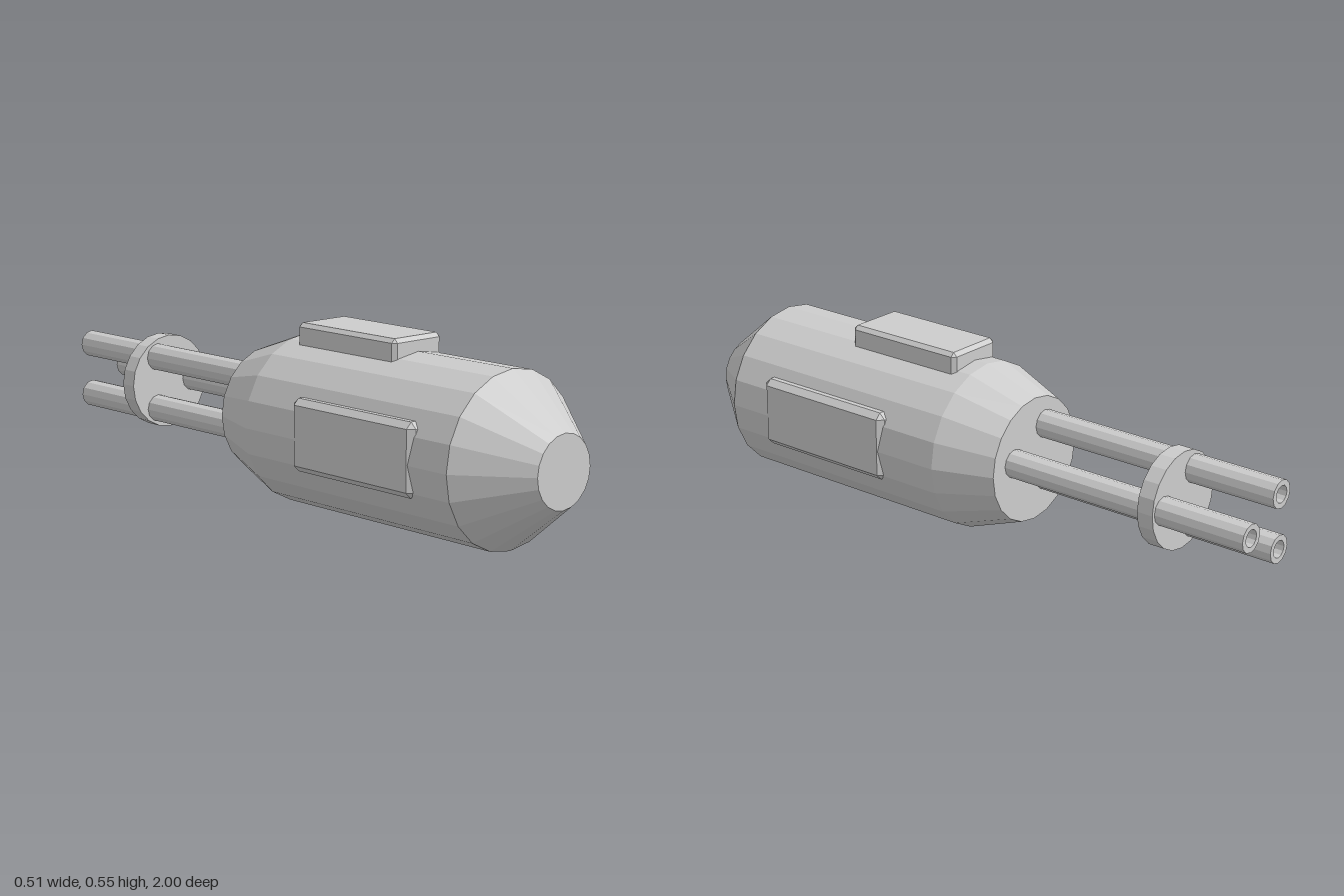
import * as THREE from 'three';
import { ConvexGeometry } from 'three/addons/geometries/ConvexGeometry.js';

const AXIS_Y = 0.256;   // height of the body axis
const BARREL_Y = 0.272; // height of the barrel cluster axis

// Faceted solid of revolution along z; profile is [radius, z] with z rising on the outside
function turned(profile, sides) {
  const points = profile.map(([r, z]) => new THREE.Vector2(r, z));
  const geometry = new THREE.LatheGeometry(points, sides).rotateX(Math.PI / 2).toNonIndexed();
  geometry.computeVertexNormals();
  return geometry;
}

// Box with every edge chamfered by c
function chamferedBox(w, h, d, c) {
  const points = [];
  for (const sx of [-1, 1]) for (const sy of [-1, 1]) for (const sz of [-1, 1]) {
    const x = w / 2, y = h / 2, z = d / 2;
    points.push(
      new THREE.Vector3(sx * x, sy * (y - c), sz * (z - c)),
      new THREE.Vector3(sx * (x - c), sy * y, sz * (z - c)),
      new THREE.Vector3(sx * (x - c), sy * (y - c), sz * z),
    );
  }
  return new ConvexGeometry(points);
}

export function createModel() {
  const model = new THREE.Group();
  model.name = 'barrelledPod';
  const grey = new THREE.MeshStandardMaterial({ color: 0xcccccc });
  grey.name = 'lightGrey';

  const add = (name, geometry, x, y, z) => {
    const mesh = new THREE.Mesh(geometry, grey);
    mesh.name = name;
    mesh.position.set(x, y, z);
    model.add(mesh);
  };

  // Body with tapered nose and tail
  add('body', turned([
    [0, -0.18], [0.191, -0.18], [0.255, 0], [0.255, 0.81], [0.106, 1], [0, 1],
  ], 20), 0, AXIS_Y, 0);

  // Raised panels on top and on both sides
  add('topPanel', chamferedBox(0.19, 0.12, 0.404, 0.012), 0, 0.495, 0.249);
  for (const side of [-1, 1]) {
    add(side > 0 ? 'leftPanel' : 'rightPanel',
      chamferedBox(0.12, 0.212, 0.486, 0.018), side * 0.197, 0.268, 0.437);
  }

  // Three hollow barrels around a common axis
  const barrel = turned([
    [0, -0.85], [0.026, -0.85], [0.026, -1], [0.0425, -1], [0.0425, -0.15],
  ], 12);
  for (let i = 0; i < 3; i++) {
    const a = i * Math.PI * 2 / 3;
    add('barrel' + (i + 1), barrel, 0.095 * Math.cos(a), BARREL_Y + 0.095 * Math.sin(a), 0);
  }

  // Disc clamping the barrels together
  add('barrelClamp', turned([
    [0, -0.71], [0.147, -0.71], [0.147, -0.658], [0, -0.658],
  ], 20), 0, BARREL_Y, 0);

  return model;
}
